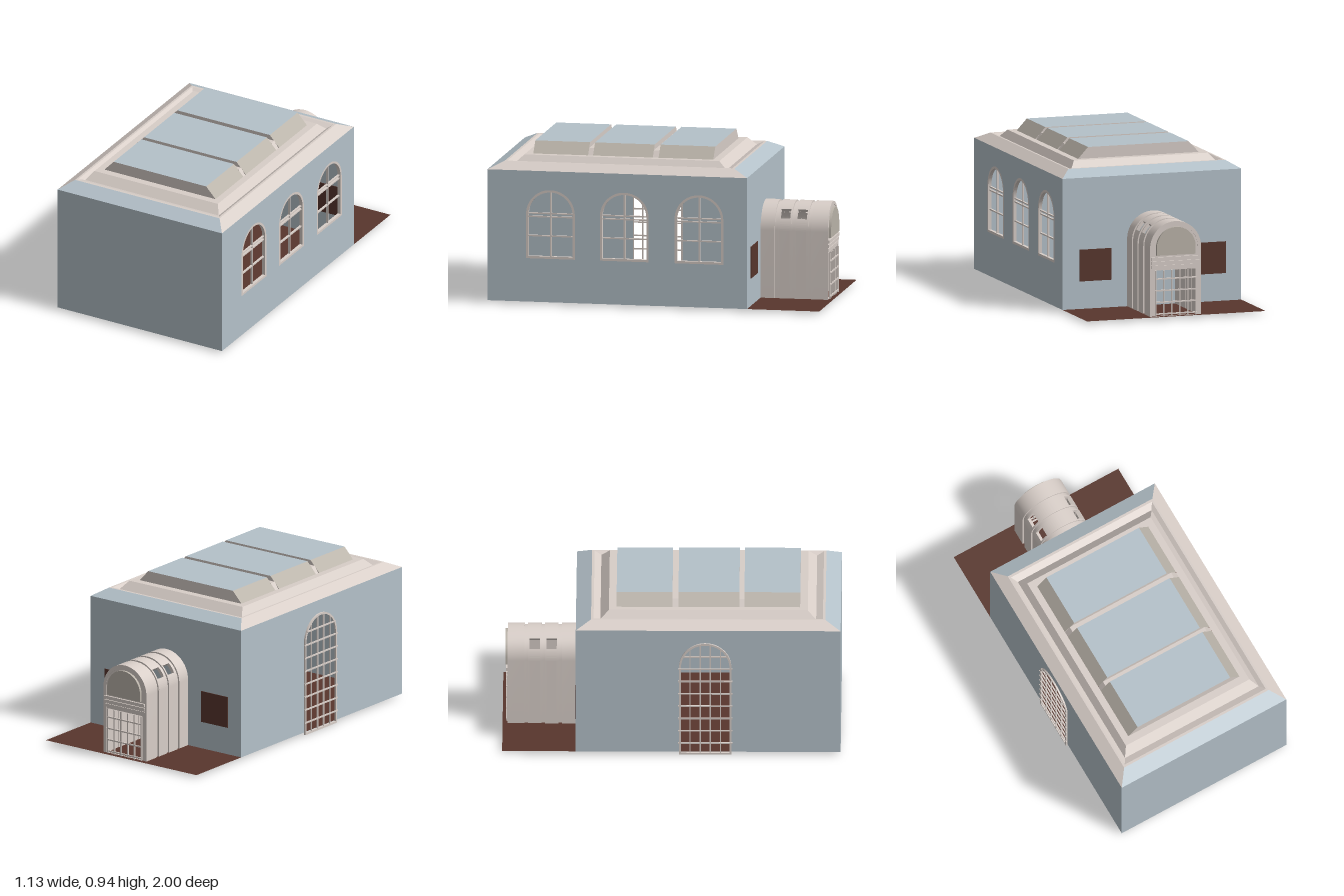
import * as THREE from 'three';
import { toCreasedNormals } from 'three/addons/utils/BufferGeometryUtils.js';

const paint = (name, color) => {
  const m = new THREE.MeshStandardMaterial({ color, side: THREE.DoubleSide });
  m.name = name;
  return m;
};

export function createModel() {
  const blue = paint('blueGreyPlaster', 0xb4c1c9);
  const beige = paint('paleStone', 0xd8cec8);
  const taupe = paint('taupeStone', 0xbab3a9);
  const brown = paint('darkBrown', 0x58362d);
  const root = new THREE.Group();
  root.name = 'hall';

  const group = (name) => {
    const g = new THREE.Group();
    g.name = name;
    root.add(g);
    return g;
  };
  const add = (parent, name, geo, mat) => {
    const m = new THREE.Mesh(geo, mat);
    m.name = name;
    parent.add(m);
    return m;
  };
  // box given by its two opposite corners
  const box = (parent, name, mat, x0, x1, y0, y1, z0, z1) => {
    const m = add(parent, name, new THREE.BoxGeometry(x1 - x0, y1 - y0, z1 - z0), mat);
    m.position.set((x0 + x1) / 2, (y0 + y1) / 2, (z0 + z1) / 2);
    return m;
  };
  const quad = (parent, name, mat, ...corners) => {
    const g = new THREE.BufferGeometry();
    const [a, b, c, d] = corners;
    g.setAttribute('position', new THREE.Float32BufferAttribute([a, b, c, a, c, d].flat(), 3));
    g.computeVertexNormals();
    return add(parent, name, g, mat);
  };
  // round-headed outline: centre u, base y, spring line and radius
  const arch = (Type, u, y0, spring, r) => {
    const s = new Type();
    s.moveTo(u - r, y0);
    s.lineTo(u + r, y0);
    s.lineTo(u + r, spring);
    s.absarc(u, spring, r, 0, Math.PI, false);
    s.lineTo(u - r, y0);
    return s;
  };
  const rectShape = (u0, u1, y0, y1) => {
    const s = new THREE.Shape();
    s.moveTo(u0, y0);
    s.lineTo(u1, y0);
    s.lineTo(u1, y1);
    s.lineTo(u0, y1);
    return s;
  };
  const extrude = (shape, depth) => toCreasedNormals(
    new THREE.ExtrudeGeometry(shape, { depth, bevelEnabled: false, curveSegments: 20 }), 0.5);

  const X0 = -0.555, X1 = 0.565, Z0 = -0.565, Z1 = 1, BASE = 0.015, EAVE = 0.8;

  // floor slab, reaching out behind the hall
  const floor = add(root, 'floor', new THREE.PlaneGeometry(X1 - X0, 2), brown);
  floor.rotation.x = -Math.PI / 2;
  floor.position.set((X0 + X1) / 2, BASE, 0);

  // walls
  const walls = group('walls');
  quad(walls, 'frontWall', blue, [X0, BASE, Z1], [X1, BASE, Z1], [X1, EAVE, Z1], [X0, EAVE, Z1]);
  quad(walls, 'backWall', blue, [X1, BASE, Z0], [X0, BASE, Z0], [X0, EAVE, Z0], [X1, EAVE, Z0]);
  const windowZ = [0.62, 0.175, -0.275], R = 0.147, SILL = 0.275, SPRING = 0.54;
  const leftShape = rectShape(-Z1, -Z0, BASE, EAVE);
  windowZ.forEach((z) => leftShape.holes.push(arch(THREE.Path, -z, SILL, SPRING, R)));
  const leftWall = add(walls, 'windowWall', new THREE.ShapeGeometry(leftShape, 20), blue);
  leftWall.rotation.y = Math.PI / 2;
  leftWall.position.x = X1;
  const gateZ = 0.2, GR = 0.155;
  const rightShape = rectShape(Z0, Z1, BASE, EAVE);
  rightShape.holes.push(arch(THREE.Path, gateZ, BASE + 0.001, 0.565, GR - 0.008));
  const rightWall = add(walls, 'gateWall', new THREE.ShapeGeometry(rightShape, 20), blue);
  rightWall.rotation.y = -Math.PI / 2;
  rightWall.position.x = X0;
  for (const s of [-1, 1]) {
    const x = s * 0.358;
    box(walls, 'backPanel', brown, x - 0.1, x + 0.1, 0.18, 0.37, Z0 - 0.004, Z0 + 0.004);
  }

  // arched windows
  windowZ.forEach((z) => {
    const g = group('archedWindow');
    g.position.set(X1 - 0.02, 0, z);
    const s = arch(THREE.Shape, 0, SILL, SPRING, R);
    s.holes.push(arch(THREE.Path, 0, SILL + 0.014, SPRING, R - 0.014));
    add(g, 'windowFrame', extrude(s, 0.02), beige).rotation.y = Math.PI / 2;
    box(g, 'mullion', beige, 0, 0.012, SILL, SPRING + R - 0.005, -0.005, 0.005);
    for (const y of [0.41, 0.525, 0.545])
      box(g, 'glazingBar', beige, 0, 0.012, y - 0.004, y + 0.004, -R + 0.005, R - 0.005);
  });

  // tall grille on the side wall
  const grille = group('sideGrille');
  grille.position.set(X0, 0, gateZ);
  const gs = arch(THREE.Shape, 0, 0, 0.565, GR);
  gs.holes.push(arch(THREE.Path, 0, 0.012, 0.565, GR - 0.012));
  add(grille, 'grilleFrame', extrude(gs, 0.01), beige).rotation.y = -Math.PI / 2;
  for (const z of [-0.09, -0.03, 0.03, 0.09]) {
    const top = 0.565 + Math.sqrt(GR * GR - z * z) - 0.004;
    box(grille, 'uprightBar', beige, -0.009, -0.001, 0.005, top, z - 0.004, z + 0.004);
  }
  for (let i = 0; i < 8; i++) {
    const y = 0.075 + i * 0.08;
    const half = y > 0.565 ? Math.sqrt(GR * GR - (y - 0.565) ** 2) : GR + 0.005;
    box(grille, 'crossBar', beige, -0.013, -0.005, y - 0.004, y + 0.004, -half, half);
  }

  // stepped roof: rings of sloping strips between rectangles
  const roof = group('roof');
  const rect = (ix, iz, y) => [
    [X0 + ix, y, Z0 + iz], [X1 - ix, y, Z0 + iz], [X1 - ix, y, Z1 - iz], [X0 + ix, y, Z1 - iz]];
  const levels = [rect(0, 0, EAVE), rect(0.068, 0.09, 0.842), rect(0.08, 0.105, 0.842),
    rect(0.105, 0.145, 0.826), rect(0.14, 0.195, 0.872), rect(0.182, 0.24, 0.872)];
  for (let k = 0; k < levels.length - 1; k++) {
    for (let i = 0; i < 4; i++) {
      const j = (i + 1) % 4, a = levels[k], b = levels[k + 1];
      quad(roof, k ? 'cornice' : 'eaveSlope', k === 0 && i % 2 === 0 ? blue : beige, a[j], a[i], b[i], b[j]);
    }
  }

  // raised skylight in three bays with sunk ribs between
  const L = -0.375, Rt = 0.385, TL = -0.31, TR = 0.32, Y = 0.87, T = 0.94;
  for (const [a, b] of [[-0.325, 0.005], [0.04, 0.4], [0.43, 0.76]]) {
    quad(roof, 'skylightTop', blue, [TL, T, b], [TR, T, b], [TR, T, a], [TL, T, a]);
    quad(roof, 'skylightSlope', taupe, [L, Y, a], [L, Y, b], [TL, T, b], [TL, T, a]);
    quad(roof, 'skylightSlope', taupe, [Rt, Y, b], [Rt, Y, a], [TR, T, a], [TR, T, b]);
    quad(roof, 'skylightEnd', beige, [L, Y, b], [Rt, Y, b], [TR, T, b], [TL, T, b]);
    quad(roof, 'skylightEnd', beige, [Rt, Y, a], [L, Y, a], [TL, T, a], [TR, T, a]);
  }
  const rib = new THREE.Shape();
  [[L, Y - 0.01], [Rt, Y - 0.01], [Rt - 0.035, 0.91], [L + 0.035, 0.91]]
    .forEach(([x, y], i) => (i ? rib.lineTo(x, y) : rib.moveTo(x, y)));
  for (const z of [0.005, 0.4])
    add(roof, 'skylightRib', extrude(rib, z > 0.1 ? 0.03 : 0.035), beige).position.z = z;

  // barrel-vaulted porch at the back
  const porch = group('porch');
  const PS = 0.42;
  const band = (name, ro, ri, y0, z0, z1, a0 = 0, a1 = Math.PI) => {
    const s = new THREE.Shape();
    s.absarc(0, PS, ro, a0, a1, false);
    if (a1 === Math.PI) {
      s.lineTo(-ro, y0);
      s.lineTo(-ri, y0);
    }
    s.absarc(0, PS, ri, a1, a0, true);
    if (a0 === 0) {
      s.lineTo(ri, y0);
      s.lineTo(ro, y0);
    }
    add(porch, name, extrude(s, z1 - z0), beige).position.z = z0;
  };
  band('vault', 0.16, 0.14, BASE, -0.65, Z0);
  band('vault', 0.16, 0.14, BASE, -0.97, -0.87);
  for (const z of [-0.75, -0.85]) {
    // bay with a small opening in each haunch
    const lo = 0.46, hi = 0.86;
    band('vault', 0.16, 0.14, BASE, z, z + 0.01);
    band('vault', 0.16, 0.14, BASE, z + 0.07, z + 0.08);
    band('vaultSide', 0.16, 0.14, BASE, z + 0.01, z + 0.07, 0, lo);
    band('vaultCrown', 0.16, 0.14, BASE, z + 0.01, z + 0.07, hi, Math.PI - hi);
    band('vaultSide', 0.16, 0.14, BASE, z + 0.01, z + 0.07, Math.PI - lo, Math.PI);
  }
  for (const z of [-0.67, -0.77, -0.87]) band('vaultRib', 0.151, 0.142, 0.006, z, z + 0.02);

  // porch end: wall with doorway, round head panel, cornice and gate
  const end = arch(THREE.Shape, 0, BASE, PS, 0.15);
  end.holes.push(new THREE.Path(rectShape(-0.125, 0.125, BASE + 0.001, 0.29).getPoints()));
  add(porch, 'porchEnd', extrude(end, 0.01), beige).position.z = -0.968;
  const head = new THREE.Shape();
  head.moveTo(-0.122, 0.38);
  head.lineTo(0.122, 0.38);
  head.lineTo(0.122, 0.425);
  head.absarc(0, 0.425, 0.122, 0, Math.PI, false);
  head.lineTo(-0.122, 0.38);
  add(porch, 'headPanel', extrude(head, 0.015), taupe).position.z = -0.983;
  [0.36, 0.335, 0.31].forEach((y, i) =>
    box(porch, 'doorCornice', beige, -0.15, 0.15, y - 0.009, y + 0.009, -0.979 + i * 0.003, -0.965));
  for (let i = 0; i < 6; i++) {
    const x = -0.125 + i * 0.05;
    box(porch, 'gateUpright', beige, x - 0.004, x + 0.004, BASE, 0.29, -0.978, -0.97);
  }
  for (const y of [0.03, 0.1, 0.17, 0.24])
    box(porch, 'gateCrossBar', beige, -0.13, 0.13, y - 0.004, y + 0.004, -0.98, -0.972);

  return root;
}
